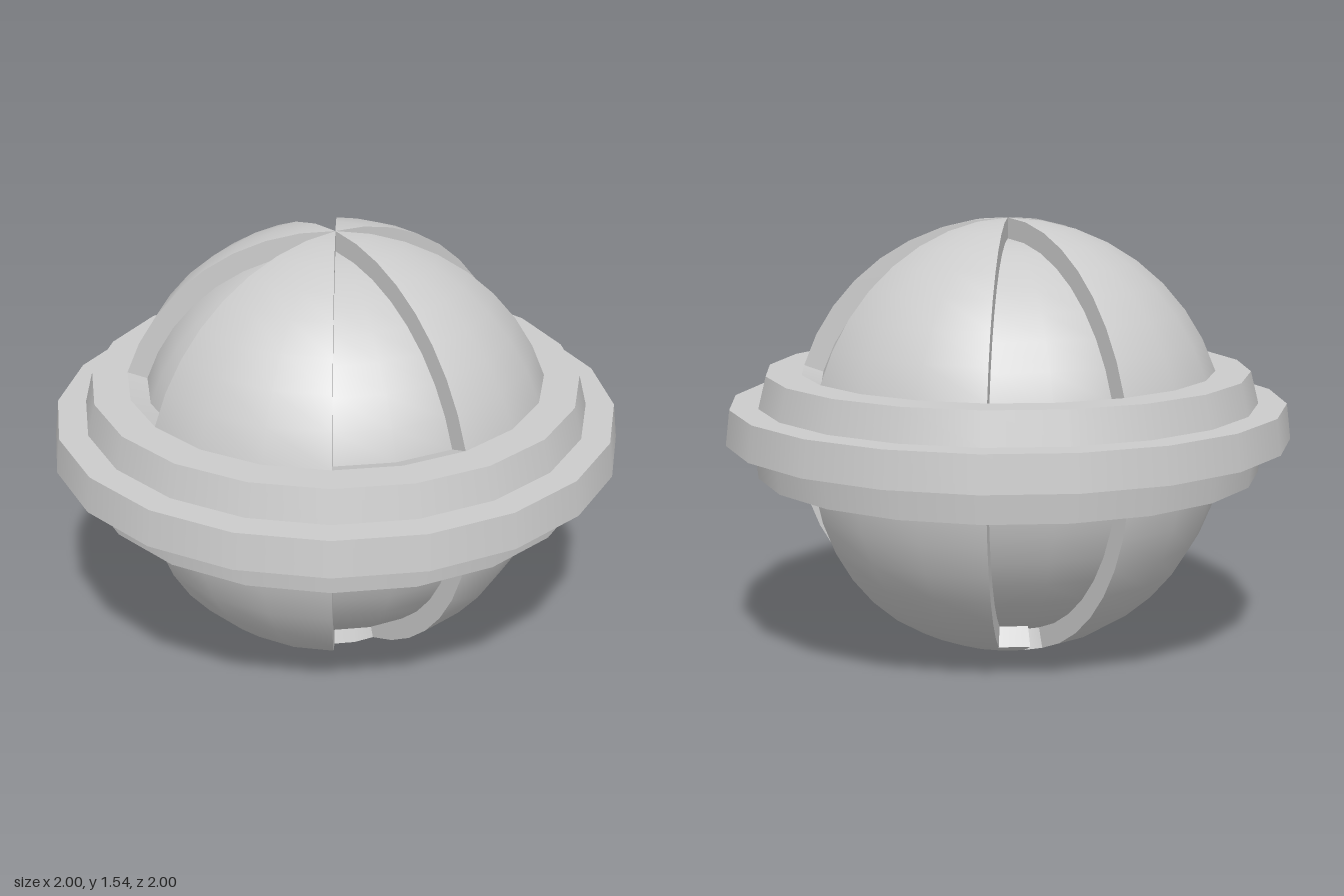
import * as THREE from 'three';

const R = 0.77, INNER = 0.697; // shell radius and groove floor radius
const STEP = 9, SECTOR = 18; // degrees per latitude row and per sector
const rad = THREE.MathUtils.degToRad;
const material = new THREE.MeshStandardMaterial({ color: 0xcccccc });
const thin = new THREE.MeshStandardMaterial({ color: 0xcccccc, side: THREE.DoubleSide });

// Point on a circle of radius r, angle measured down from the top pole
const polar = (r, theta) => new THREE.Vector2(Math.max(0, r * Math.sin(rad(theta))), r * Math.cos(rad(theta)));

function add(group, name, geometry, mat = material) {
  const mesh = new THREE.Mesh(geometry, mat);
  mesh.name = name;
  group.add(mesh);
}

// Revolve a profile over an azimuth range (0 faces the front, 90 faces +x)
const revolve = (points, phi, width) =>
  new THREE.LatheGeometry(points, Math.round(width / SECTOR), rad(phi), rad(width));

// Smooth piece of a sphere between two polar angles
function spherePatch(r, phi, width, top, bottom) {
  const points = [];
  for (let t = bottom; t >= top; t -= STEP) points.push(polar(r, t));
  const geometry = revolve(points, phi, width);
  const pos = geometry.attributes.position, n = new THREE.Vector3();
  for (let i = 0; i < pos.count; i++) {
    n.fromBufferAttribute(pos, i).normalize();
    geometry.attributes.normal.setXYZ(i, n.x, n.y, n.z);
  }
  return geometry;
}

// Radial wall standing on a meridian
function meridianWall(phi, top, bottom) {
  const geometry = new THREE.RingGeometry(INNER, R, (bottom - top) / STEP, 1, rad(90 - bottom), rad(bottom - top));
  return geometry.rotateY(rad(phi - 90));
}

// Sloped wall closing a groove at one latitude
const endWall = (phi, theta) => revolve([polar(INNER, theta), polar(R, theta)], phi, SECTOR);

export function createModel() {
  const model = new THREE.Group();
  model.name = 'ringedSphere';

  // Four raised shell panels and the bottom cap
  for (let k = 0; k < 4; k++) add(model, 'shellPanel', spherePatch(R, k * 90 + 18, 54, 0, 162));
  add(model, 'bottomCap', spherePatch(R, 0, 360, 162, 180));

  // Four grooves, each of two mirrored sectors above and below the belt
  for (let k = 0; k < 4; k++) {
    for (const side of [-1, 1]) {
      const groove = new THREE.Group();
      groove.name = 'groove';
      const centre = k * 90, edge = centre + side * SECTOR;
      const start = Math.min(centre, edge);
      const shortened = k === 2 && side === -1; // one rear sector ends a row early
      const bottom = shortened ? 153 : 162;
      for (const [from, to] of [[0, 72], [99, bottom]]) {
        add(groove, 'grooveFloor', spherePatch(INNER, start, SECTOR, from, to));
        add(groove, 'grooveSide', meridianWall(edge, from, to), thin);
      }
      for (const theta of [72, 99, bottom]) add(groove, 'grooveEnd', endWall(start, theta), thin);
      if (shortened) {
        add(groove, 'capTab', spherePatch(R, start, SECTOR, 153, 162));
        add(groove, 'capTabSide', meridianWall(centre, 153, 162), thin);
      }
      model.add(groove);
    }
  }

  // Stepped belt, one band per profile edge to keep the steps sharp
  const belt = new THREE.Group();
  belt.name = 'belt';
  const profile = [
    [0.76, -0.12], [0.89, -0.12], [0.9, 0], [1, 0],
    [0.985, 0.125], [0.885, 0.125], [0.857, 0.238], [0.732, 0.238],
  ].map(([x, y]) => new THREE.Vector2(x, y));
  for (let i = 0; i < profile.length - 1; i++) {
    add(belt, 'beltBand', revolve([profile[i], profile[i + 1]], 0, 360));
  }
  model.add(belt);

  model.position.y = R;
  const root = new THREE.Group();
  root.add(model);
  return root;
}
